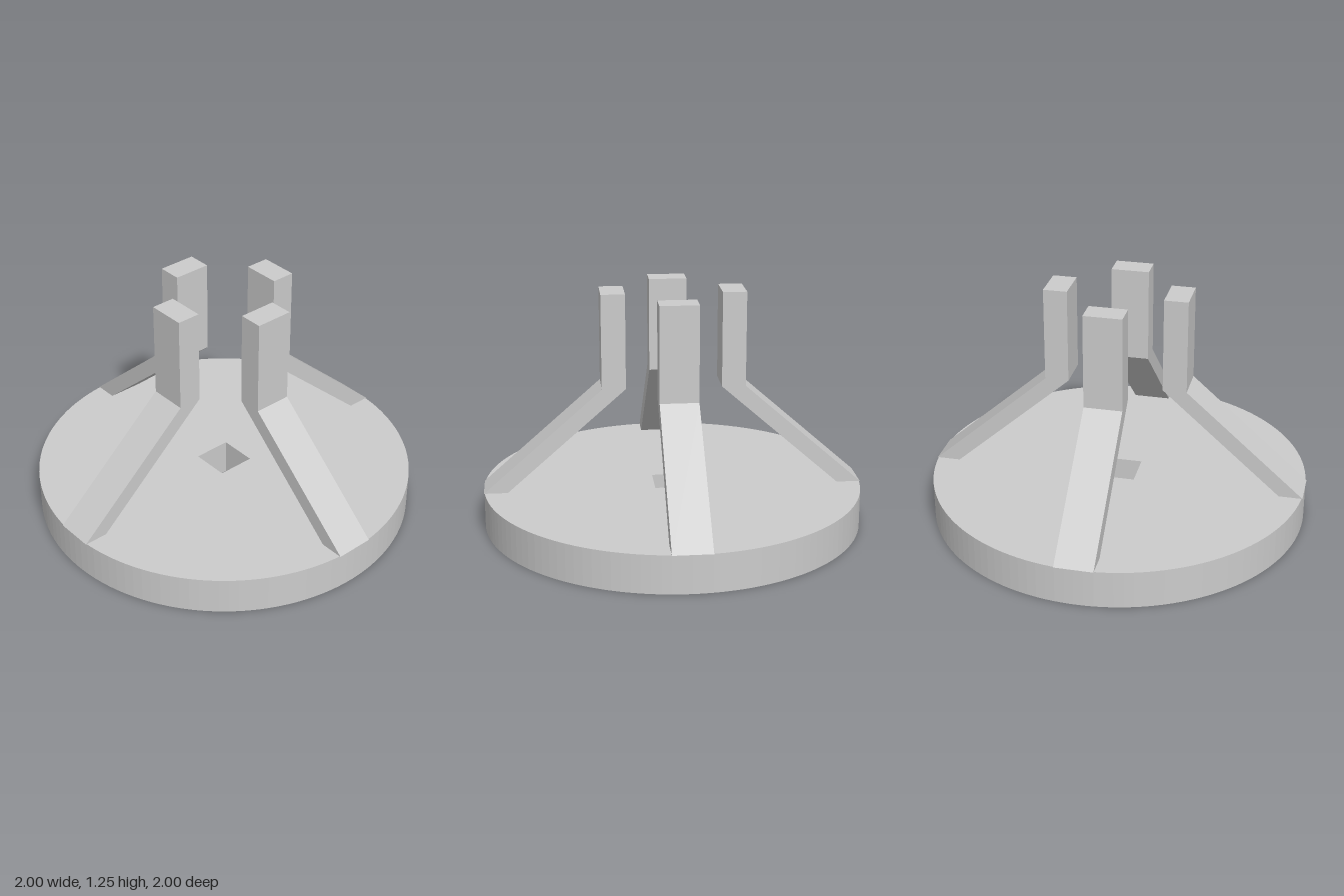
import * as THREE from 'three';

const BASE_HEIGHT = 0.2;
const ARM_WIDTH = 0.2;
const HOLE = 0.1; // half side of the square hole

const points = (list) => list.map(([x, y]) => new THREE.Vector2(x, y));

export function createModel() {
  const group = new THREE.Group();
  group.name = 'fourArmStand';
  const material = new THREE.MeshStandardMaterial({ color: 0xcccccc, flatShading: true });

  // Round base plate with a square hole through its centre
  const disc = new THREE.Shape();
  disc.absarc(0, 0, 1, 0, Math.PI * 2, false);
  disc.holes.push(new THREE.Path(points([[-HOLE, -HOLE], [-HOLE, HOLE], [HOLE, HOLE], [HOLE, -HOLE]])));
  const baseGeometry = new THREE.ExtrudeGeometry(disc, {
    depth: BASE_HEIGHT, bevelEnabled: false, curveSegments: 64,
  });
  baseGeometry.rotateX(-Math.PI / 2);
  const base = new THREE.Mesh(baseGeometry, material);
  base.name = 'basePlate';
  group.add(base);

  // Arm profile: slanted leg rising from the rim into an upright prong
  const profile = new THREE.Shape(points([
    [0.875, BASE_HEIGHT], [1, BASE_HEIGHT], [0.375, 0.75],
    [0.375, 1.25], [0.25, 1.25], [0.25, 0.75],
  ]));
  const armGeometry = new THREE.ExtrudeGeometry(profile, { depth: ARM_WIDTH, bevelEnabled: false });
  armGeometry.translate(0, 0, -ARM_WIDTH / 2);

  // Four arms, a quarter turn apart
  ['leftArm', 'backArm', 'rightArm', 'frontArm'].forEach((name, i) => {
    const arm = new THREE.Mesh(armGeometry, material);
    arm.name = name;
    arm.rotation.y = (i * Math.PI) / 2;
    group.add(arm);
  });

  return group;
}
